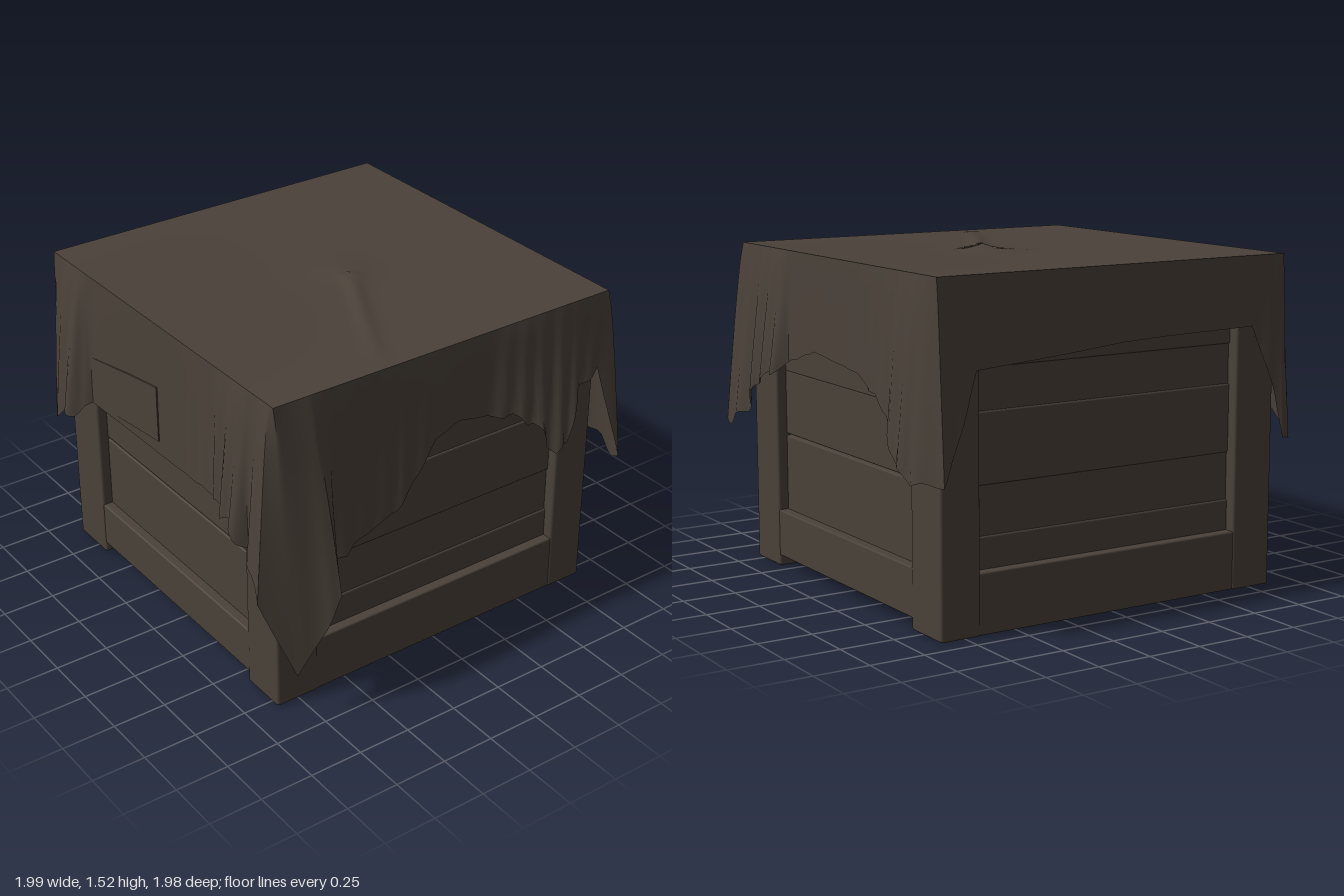
import * as THREE from 'three';
import { toCreasedNormals } from 'three/addons/utils/BufferGeometryUtils.js';
import { RoundedBoxGeometry } from 'three/addons/geometries/RoundedBoxGeometry.js';

const X0 = -0.91, X1 = 0.80, Z0 = -0.87, Z1 = 0.86; // crate footprint
const TOP = 1.508;
const CX0 = -0.94, CX1 = 0.83, CZ0 = -0.9, CZ1 = 0.88; // cloth top rectangle

// Cloth hem, per side: [position along edge, shift along edge, outward, hem height, pleating]
const frontHem = [
  [-0.94, -0.04, 0, 0.69, 0], [-0.90, -0.05, 0.05, 0.67, 0.3], [-0.8, 0, 0.10, 0.76, 1],
  [-0.7, 0, 0.09, 0.80, 1], [-0.64, 0, 0.012, 0.86, 0], [-0.3, 0, 0.005, 0.86, 0],
  [0.1, 0, 0.005, 0.865, 0], [0.38, 0, 0.012, 0.88, 0.6], [0.5, 0, 0.05, 0.87, 1],
  [0.6, 0, 0.08, 0.85, 1], [0.66, 0, 0.03, 0.77, 1], [0.76, 0, 0.08, 0.72, 0.6], [0.80, 0.05, 0.11, 0.62, 0.4],
];
const sideHem = [
  [0.88, -0.04, 0.09, 0.23, 0.2], [0.8, -0.08, 0.14, 0.45, 0.2], [0.72, -0.06, 0.165, 0.61, 0.2],
  [0.62, 0, 0.06, 0.70, 0.6], [0.45, 0, 0.04, 0.77, 0.4], [0.28, 0, 0.04, 0.83, 0.3], [0.2, 0, 0.04, 0.93, 0.2],
  [0.08, 0, 0.04, 1.11, 0.1], [-0.05, 0, 0.03, 1.15, 0], [-0.2, 0, 0.03, 1.12, 0.1], [-0.36, 0, 0.07, 1.08, 0.8],
  [-0.48, 0, 0.08, 0.97, 1], [-0.57, 0, 0.08, 0.82, 1], [-0.65, 0, 0.08, 0.87, 1], [-0.72, 0, 0.04, 1.08, 0.6],
  [-0.84, 0, 0.03, 1.15, 0.3],
];
const backHem = [
  [0.83, 0.08, 0.06, 0.68, 0.3], [0.78, 0.07, 0.085, 0.65, 0.6], [0.68, 0, 0.07, 0.75, 1], [0.55, 0, 0.07, 0.9, 1],
  [0.42, 0, 0.07, 0.95, 0.8], [0.36, 0, 0.012, 1.0, 0.3], [0.1, 0, 0.01, 1.08, 0.1], [-0.3, 0, 0.012, 1.04, 0.2],
  [-0.55, 0, 0.03, 0.93, 0.6], [-0.7, 0, 0.065, 0.72, 0.8], [-0.82, 0, 0.06, 0.66, 0.6],
];
const otherSideHem = [
  [-0.9, 0, 0.05, 0.67, 0.3], [-0.83, 0, 0.03, 0.8, 0.3], [-0.72, 0, 0.01, 1.12, 0.1], [0, 0, 0.01, 1.18, 0.1],
  [0.7, 0, 0.01, 1.2, 0.1], [0.82, 0, 0.03, 0.9, 0.2], [0.86, 0, 0.05, 0.69, 0.3],
];

// Height of the top sheet: slight sag, a central pinch and a crease running to one corner
function sheetHeight(x, z) {
  const u = (x - CX0) / (CX1 - CX0), w = (z - CZ0) / (CZ1 - CZ0);
  const sag = -0.015 * Math.sin(Math.PI * u) * Math.sin(Math.PI * w);
  const dx = 0.65, dz = 0.35;
  const t = Math.min(1, Math.max(0, ((x - 0.05) * dx + (z + 0.07) * dz) / (dx * dx + dz * dz)));
  const d = Math.hypot(x - 0.05 - t * dx, z + 0.07 - t * dz);
  const crease = 0.018 * (1 - 0.6 * t) * Math.exp(-((d / 0.04) ** 2));
  const pinch = 0.015 * Math.exp(-((x + 0.03) ** 2 + (z + 0.08) ** 2) / 0.015);
  return TOP + sag + crease + pinch;
}

// Closed loop of samples around the cloth edge
function clothLoop() {
  const sides = [
    [frontHem, s => [s, CZ1], [1, 0], [0, 1]],
    [sideHem, s => [CX1, s], [0, 1], [1, 0]],
    [backHem, s => [s, CZ0], [1, 0], [0, -1]],
    [otherSideHem, s => [CX0, s], [0, 1], [-1, 0]],
  ];
  const knots = [];
  for (const [list, at, along, normal] of sides) {
    for (const [s, shift, out, y, pleat] of list) {
      const [x, z] = at(s);
      knots.push([x, z, x + along[0] * shift + normal[0] * out, z + along[1] * shift + normal[1] * out,
        y, pleat, normal[0], normal[1]]);
    }
  }
  const loop = [], per = 6;
  knots.forEach((a, i) => {
    const b = knots[(i + 1) % knots.length];
    for (let k = 0; k < per; k++) loop.push(a.map((v, j) => v + (b[j] - v) * k / per));
  });
  return loop;
}

function clothGeometry() {
  const loop = clothLoop(), n = loop.length, rings = 26, rows = 10;
  const pos = [], index = [];
  // Flat top, as rings growing from the middle
  for (let r = 1; r <= rings; r++) {
    for (const [x, z] of loop) {
      const px = x * r / rings, pz = z * r / rings;
      pos.push(px, sheetHeight(px, pz), pz);
    }
  }
  // Hanging skirt with pleats
  for (let r = 1; r <= rows; r++) {
    const v = r / rows, ease = Math.pow(v, 0.75);
    let arc = 0;
    loop.forEach(([x, z, hx, hz, hy, pleat, nx, nz], i) => {
      if (i) arc += Math.hypot(x - loop[i - 1][0], z - loop[i - 1][1]);
      const wave = 0.016 * pleat * v * Math.sin(arc * 60 + v * 2);
      const ragged = 0.02 * pleat * Math.sin(arc * 47);
      pos.push(x + (hx - x) * ease + nx * wave, TOP + (hy + ragged - TOP) * v, z + (hz - z) * ease + nz * wave);
    });
  }
  for (let r = 0; r < rings + rows - 1; r++) {
    for (let i = 0; i < n; i++) {
      const a = r * n + i, b = r * n + (i + 1) % n;
      index.push(a, a + n, b, b, a + n, b + n);
    }
  }
  const middle = pos.length / 3;
  pos.push(0, sheetHeight(0, 0), 0);
  for (let i = 0; i < n; i++) index.push(middle, i, (i + 1) % n);
  const g = new THREE.BufferGeometry();
  g.setAttribute('position', new THREE.Float32BufferAttribute(pos, 3));
  g.setIndex(index);
  return toCreasedNormals(g, 0.8);
}

export function createModel() {
  const model = new THREE.Group();
  const brown = new THREE.MeshStandardMaterial({ color: 0x4a4139, side: THREE.DoubleSide });
  brown.name = 'dark brown';

  const add = (name, geometry) => {
    const mesh = new THREE.Mesh(geometry, brown);
    mesh.name = name;
    model.add(mesh);
    return mesh;
  };
  // Beam given by its two opposite corners
  const beam = (name, x0, x1, y0, y1, z0, z1, radius = 0.008) => {
    const g = new RoundedBoxGeometry(x1 - x0, y1 - y0, z1 - z0, 2, radius);
    g.translate((x0 + x1) / 2, (y0 + y1) / 2, (z0 + z1) / 2);
    return add(name, g);
  };

  // Corner posts
  const px0 = -0.67, px1 = 0.57, pz0 = -0.68, pz1 = 0.65;
  for (const [a, b] of [[X0, px0], [px1, X1]]) {
    for (const [c, d] of [[Z0, pz0], [pz1, Z1]]) beam('cornerPost', a, b, 0, 1.49, c, d, 0.012);
  }

  // Top and bottom rails; the side rails reach the ground
  for (const [y0, y1, foot] of [[0.05, 0.27, 0.048], [1.27, 1.49, 0]]) {
    beam('frontRail', px0 - 0.03, px1 + 0.03, y0, y1, Z1 - 0.14, Z1 - 0.004);
    beam('backRail', px0 - 0.03, px1 + 0.03, y0, y1, Z0 + 0.004, Z0 + 0.14);
    beam('sideRail', X0 + 0.004, X0 + 0.14, y0 - foot, y1, pz0 - 0.03, pz1 + 0.03);
    beam('sideRail', X1 - 0.14, X1 - 0.004, y0 - foot, y1, pz0 - 0.03, pz1 + 0.03);
  }

  // Recessed wall planks, with a narrow slit in the front and back
  const inset = 0.05, thick = 0.05;
  for (const [y0, y1] of [[0.25, 0.622], [0.63, 0.93], [0.925, 1.3]]) {
    beam('frontPlank', px0 - 0.05, px1 + 0.05, y0, y1, Z1 - inset - thick, Z1 - inset);
    beam('backPlank', px0 - 0.05, px1 + 0.05, y0, y1, Z0 + inset, Z0 + inset + thick);
  }
  // Side planks butt against each other, every second one set slightly deeper
  [[0.25, 0.41], [0.4, 0.635], [0.625, 0.935], [0.925, 1.125], [1.115, 1.3]].forEach(([y0, y1], i) => {
    const d = inset + (i % 2) * 0.008;
    beam('sidePlank', X0 + d, X0 + d + thick, y0, y1, pz0 - 0.05, pz1 + 0.05);
    beam('sidePlank', X1 - d - thick, X1 - d, y0, y1, pz0 - 0.05, pz1 + 0.05);
  });

  // Floor slats, each tilted a little
  const slats = 6, z0 = Z0 + 0.12, step = (Z1 - 0.12 - z0) / slats;
  for (let i = 0; i < slats; i++) {
    const slat = beam('floorSlat', X0 + 0.1, X1 - 0.1, -0.025, 0.025, -step / 2, step / 2);
    slat.position.set(0, 0.095, z0 + (i + 0.5) * step);
    slat.rotation.x = 0.1;
  }

  // Draped cloth, with one flap folded over at the front
  add('drapedCloth', clothGeometry());
  const flap = new THREE.Shape([[-0.62, 0.865], [-0.06, 0.93], [-0.06, 1.2], [-0.3, 1.16], [-0.62, 1.1]]
    .map(([x, y]) => new THREE.Vector2(x, y)));
  add('clothFlap', new THREE.ExtrudeGeometry(flap, { depth: 0.008, bevelEnabled: false }).translate(0, 0, 0.882));
  return model;
}
